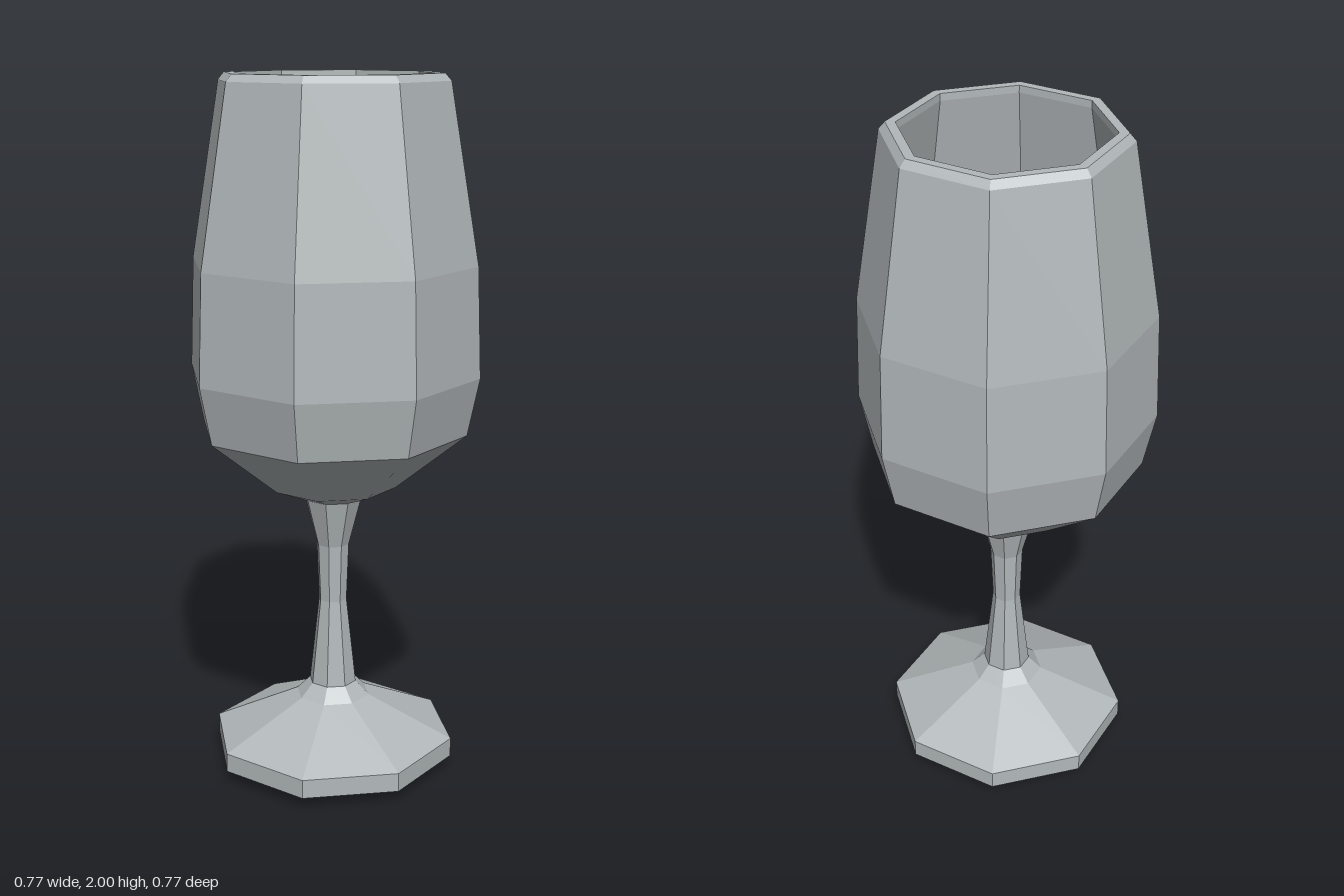
import * as THREE from 'three';

const SIDES = 8;

// Turns a profile of [distance to flat side, height] into a faceted octagonal part
function facetedLathe(name, profile, material) {
  const points = profile.map(([a, y]) => new THREE.Vector2(a / Math.cos(Math.PI / SIDES), y));
  const geometry = new THREE.LatheGeometry(points, SIDES, Math.PI / SIDES).toNonIndexed();
  geometry.computeVertexNormals();
  const mesh = new THREE.Mesh(geometry, material);
  mesh.name = name;
  return mesh;
}

export function createModel() {
  const glass = new THREE.MeshStandardMaterial({ color: 0xb2b8ba });
  glass.name = 'grey glass';
  const red = new THREE.MeshStandardMaterial({ color: 0x7e3c2e });
  red.name = 'red wine';

  const group = new THREE.Group();
  group.name = 'wineGlass';

  // Foot: chamfered underside, short rim, sloping top
  group.add(facetedLathe('foot', [
    [0, 0], [0.262, 0], [0.33, 0.035], [0.33, 0.09], [0.1, 0.205], [0.064, 0.245],
  ], glass));

  // Stem: waisted, flaring into the bowl
  group.add(facetedLathe('stem', [
    [0.064, 0.245], [0.038, 0.5], [0.044, 0.67], [0.077, 0.81],
  ], glass));

  // Bowl: outer wall, bevelled rim, then inner wall down to the floor
  group.add(facetedLathe('bowl', [
    [0.077, 0.81], [0.17, 0.85], [0.356, 1.015], [0.387, 1.18], [0.376, 1.49],
    [0.299, 1.98], [0.283, 2], [0.258, 2],
    [0.258, 1.98], [0.345, 1.48], [0.356, 1.19], [0.328, 1.04], [0.15, 0.88], [0, 0.86],
  ], glass));

  // Wine surface, reaching the inner wall
  group.add(facetedLathe('wine', [[0.356, 1.2], [0, 1.2]], red));

  return group;
}
